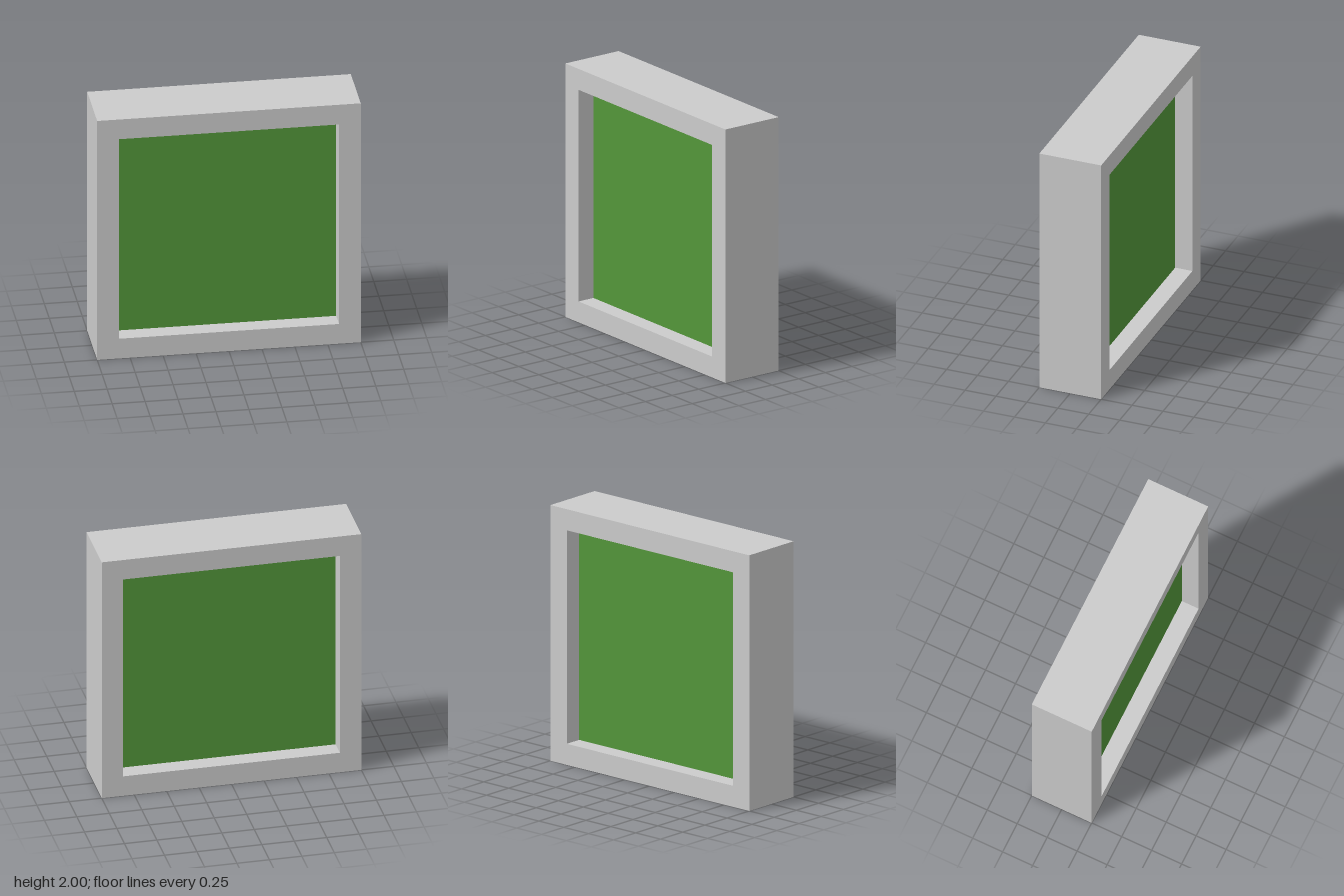
import * as THREE from 'three';

const SIZE = 2, DEPTH = 0.5, OPENING = 1.67, PANEL_DEPTH = 0.22;

// Square outline centred on the origin
function square(PathType, size) {
  const h = size / 2;
  return new PathType([[-h, -h], [h, -h], [h, h], [-h, h]].map(([x, y]) => new THREE.Vector2(x, y)));
}

export function createModel() {
  const group = new THREE.Group();
  group.name = 'framedPanel';

  // Deep square frame, open through the middle
  const outline = square(THREE.Shape, SIZE);
  outline.holes.push(square(THREE.Path, OPENING));
  const frameGeometry = new THREE.ExtrudeGeometry(outline, { depth: DEPTH, bevelEnabled: false });
  frameGeometry.translate(0, SIZE / 2, -DEPTH / 2);
  const frame = new THREE.Mesh(frameGeometry, new THREE.MeshStandardMaterial({ color: 0xcccccc }));
  frame.name = 'frame';

  // Green panel, recessed equally on both sides
  const panel = new THREE.Mesh(
    new THREE.BoxGeometry(OPENING, OPENING, PANEL_DEPTH),
    new THREE.MeshStandardMaterial({ color: 0x53963a })
  );
  panel.name = 'panel';
  panel.position.y = SIZE / 2;

  group.add(frame, panel);
  return group;
}
